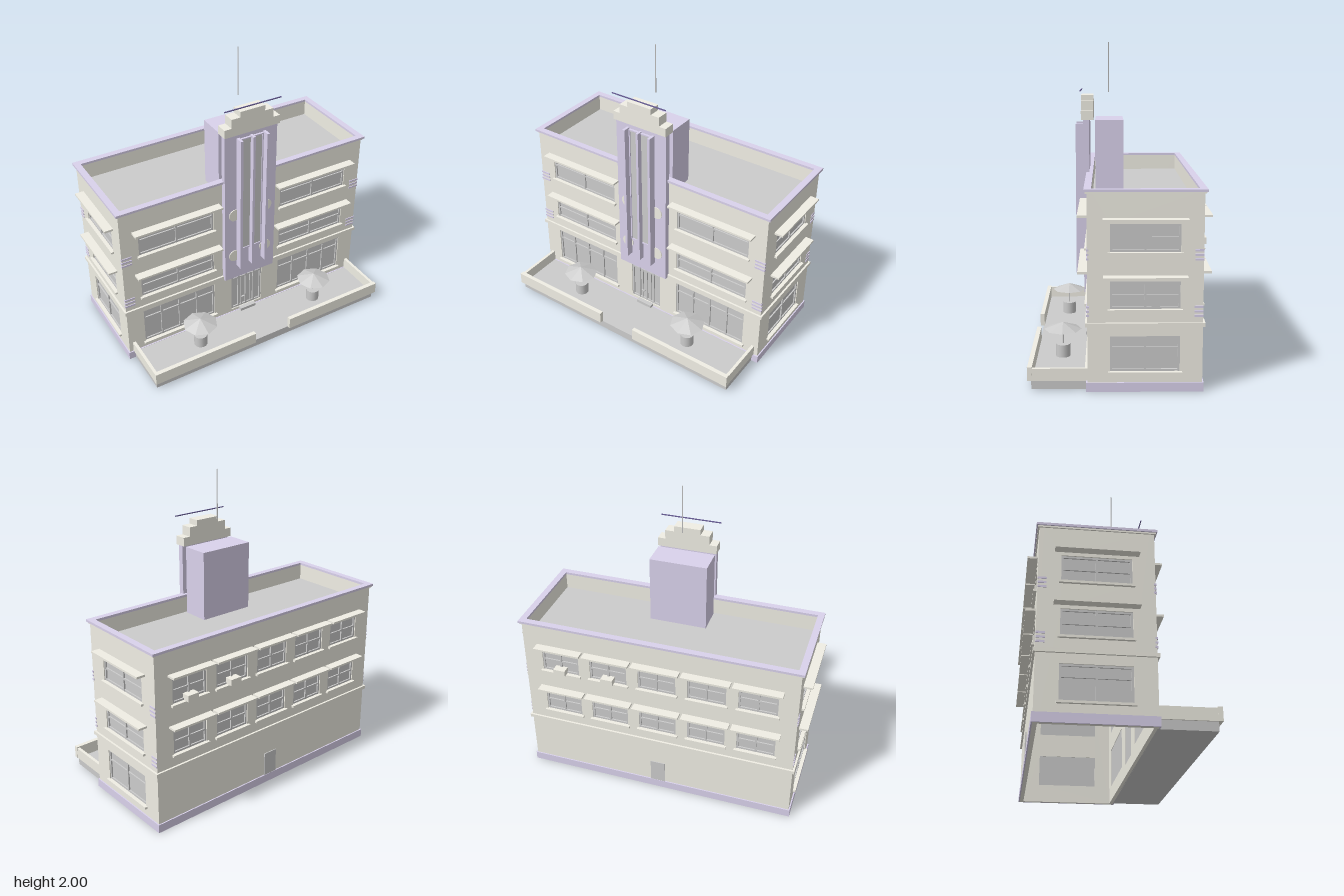
import * as THREE from 'three';

const mat = (color) => new THREE.MeshStandardMaterial({ color });
const GREY = mat(0xcccccc), CREAM = mat(0xf0eee4), LILAC = mat(0xdad2ec), VIOLET = mat(0x6a5f98);
const T = 0.025;                                   // wall thickness
const HX = 0.905, ZF = 0.185, ZB = -0.475, ZC = (ZF + ZB) / 2;

function add(parent, name, geometry, material) {
  const m = new THREE.Mesh(geometry, material);
  m.name = name;
  parent.add(m);
  return m;
}

// Box given by its min and max on each axis
function box(parent, name, material, x0, x1, y0, y1, z0, z1) {
  const m = add(parent, name, new THREE.BoxGeometry(x1 - x0, y1 - y0, z1 - z0), material);
  m.position.set((x0 + x1) / 2, (y0 + y1) / 2, (z0 + z1) / 2);
  return m;
}

function rectPath(PathClass, x0, x1, y0, y1) {
  return new PathClass([[x0, y0], [x1, y0], [x1, y1], [x0, y1]].map(([x, y]) => new THREE.Vector2(x, y)));
}

// Rectangular band running round the building
function ring(parent, name, material, y0, y1, out, inset = T) {
  const s = rectPath(THREE.Shape, -HX - out, HX + out, ZB - out, ZF + out);
  s.holes.push(rectPath(THREE.Path, -HX + inset, HX - inset, ZB + inset, ZF - inset));
  const g = new THREE.ExtrudeGeometry(s, { depth: y1 - y0, bevelEnabled: false });
  g.rotateX(Math.PI / 2).translate(0, y1, 0);
  return add(parent, name, g, material);
}

// Glazing with frame and bars; the wall surface is at local z = 0
function glazing(parent, name, o) {
  const g = new THREE.Group();
  g.name = name;
  parent.add(g);
  const { x0, x1, y0, y1, bars, transom } = o, b = 0.006, zf = -0.006, zb = -0.02;
  box(g, 'glass', GREY, x0, x1, y0, y1, -0.022, -0.016);
  for (const x of [x0 + b, x1 - b, ...bars]) box(g, 'mullion', GREY, x - b, x + b, y0, y1, zb, zf);
  for (const y of [y0 + b, y1 - b, transom]) box(g, 'rail', GREY, x0, x1, y - b, y + b, zb, zf - 0.001);
  if (o.sill) box(g, 'sill', CREAM, x0 - 0.013, x1 + 0.013, y0 - 0.014, y0, -0.01, 0.018);
  if (o.canopy) {
    const c = (x0 + x1) / 2, w = o.canopy / 2;
    box(g, 'canopy', CREAM, c - w, c + w, y1 + 0.021, y1 + 0.034, -0.01, 0.058);
  }
}

// One wall with its openings
function facade(parent, name, halfWidth, openings) {
  const g = new THREE.Group();
  g.name = name;
  parent.add(g);
  const s = rectPath(THREE.Shape, -halfWidth, halfWidth, 0, 1.165);
  for (const o of openings) s.holes.push(rectPath(THREE.Path, o.x0, o.x1, o.y0, o.y1));
  const wall = new THREE.ExtrudeGeometry(s, { depth: T, bevelEnabled: false }).translate(0, 0, -T);
  add(g, 'wall', wall, CREAM);
  for (const o of openings) glazing(g, o.name || 'window', o);
  return g;
}

const opening = (c, w, y0, y1, transom, cols, extra = {}) => ({
  x0: c - w / 2, x1: c + w / 2, y0, y1, transom,
  bars: Array.from({ length: cols - 1 }, (_, i) => c - w / 2 + (w * (i + 1)) / cols), ...extra,
});
const FLOORS = [[0.49, 0.652, 0.568], [0.82, 0.982, 0.9]];

function buildShell(root) {
  // Front
  const front = [opening(0, 0.24, 0.075, 0.385, 0.335, 1, { name: 'entrance', bars: [-0.06, 0, 0.06] })];
  for (const s of [-1, 1]) {
    front.push(opening(s * 0.52, 0.53, 0.1, 0.36, 0.29, 4, { name: 'shopWindow', sill: true }));
    FLOORS.forEach(([a, b, t], i) => front.push(
      opening(s * 0.52, 0.53, a, b, i ? 0.928 : t, 2, { sill: true, canopy: 0.61 })));
  }
  const f = facade(root, 'frontFacade', HX, front);
  f.position.z = ZF;
  for (const x of [-0.035, 0.035]) box(f, 'doorStile', GREY, x - 0.004, x + 0.004, 0.075, 0.335, -0.02, -0.008);
  box(f, 'doorHandle', GREY, -0.04, -0.015, 0.15, 0.156, -0.01, 0.002);

  // Sides
  for (const s of [-1, 1]) {
    const side = [opening(0, 0.4, 0.12, 0.33, 0.26, 2, { sill: true })];
    for (const [a, b, t] of FLOORS) side.push(opening(0, 0.4, a, b, t, 2, { sill: true, canopy: 0.48 }));
    const g = facade(root, 'sideFacade', (ZF - ZB) / 2 - T, side);
    g.position.set(s * HX, 0, ZC);
    g.rotation.y = s * Math.PI / 2;
  }

  // Back
  const back = [];
  for (let i = -2; i <= 2; i++) for (const [a, b, t] of FLOORS)
    back.push(opening(i * 0.328, 0.25, a, b, t, 2, { sill: true, canopy: 0.312 }));
  const bk = facade(root, 'backFacade', HX, back);
  bk.position.z = ZB;
  bk.rotation.y = Math.PI;
  box(bk, 'backDoor', GREY, -0.05, 0.05, 0.055, 0.215, -0.01, 0.006);
  for (const x of [-0.656, -0.328]) box(bk, 'airConditioner', CREAM, x - 0.04, x + 0.04, 0.82, 0.86, -0.02, 0.036);

  // Bands and roof
  ring(root, 'plinth', LILAC, 0, 0.055, 0.008, 0);
  ring(root, 'beltCourse', CREAM, 0.388, 0.411, 0.013, 0);
  ring(root, 'corniceBed', CREAM, 1.155, 1.166, 0.009, 0);
  ring(root, 'parapetCap', LILAC, 1.165, 1.18, 0.017);
  box(root, 'roofDeck', GREY, -HX + T, HX - T, 1.04, 1.06, ZB + T, ZF - T);

  // Speed stripes at the corners
  for (const s of [-1, 1]) for (const y of [0.451, 0.477, 0.503, 0.78, 0.806, 0.832]) {
    const x = s * 0.873;
    box(root, 'cornerStripe', LILAC, x - 0.035, x + 0.035, y - 0.006, y + 0.006, ZF - 0.01, ZF + 0.005);
    box(root, 'cornerStripe', LILAC, s * HX - 0.004, s * HX + 0.004, y - 0.006, y + 0.006, ZB, ZB + 0.05);
  }
}

function buildTower(root) {
  const g = new THREE.Group();
  g.name = 'tower';
  root.add(g);
  box(g, 'towerSlab', LILAC, -0.19, 0.19, 0.388, 1.51, 0.183, 0.22);
  box(g, 'stairWindow', GREY, -0.075, 0.075, 0.63, 1.465, 0.21, 0.228);
  for (const s of [-1, 1]) {
    box(g, 'windowFrame', LILAC, s * 0.079 - 0.004, s * 0.079 + 0.004, 0.622, 1.473, 0.21, 0.234);
    box(g, 'outerFin', LILAC, s * 0.095 - 0.009, s * 0.095 + 0.009, 0.495, 1.48, 0.21, 0.272);
    for (const y of [0.58, 0.91]) {
      const d = add(g, 'medallion', new THREE.CylinderGeometry(0.043, 0.043, 0.008, 24).rotateX(Math.PI / 2), CREAM);
      d.position.set(s * 0.118, y, 0.221);
    }
  }
  for (const y of [0.626, 1.469]) box(g, 'windowFrame', LILAC, -0.08, 0.08, y - 0.004, y + 0.004, 0.21, 0.234);
  box(g, 'centreFin', LILAC, -0.008, 0.008, 0.495, 1.48, 0.21, 0.262);

  // Stepped crown
  const half = [[0.198, 1.51], [0.198, 1.567], [0.148, 1.567], [0.148, 1.628], [0.088, 1.628], [0.088, 1.665]];
  const pts = [...half, ...half.map(([x, y]) => [-x, y]).reverse()].map(([x, y]) => new THREE.Vector2(x, y));
  const crown = new THREE.ExtrudeGeometry(new THREE.Shape(pts), { depth: 0.078, bevelEnabled: false });
  add(g, 'crown', crown.translate(0, 0, 0.157), CREAM);
  box(g, 'lightBar', VIOLET, -0.2, 0.2, 1.691, 1.697, 0.236, 0.242);

  // Rooftop block and mast
  box(g, 'rooftopBlock', LILAC, -0.19, 0.19, 1.06, 1.51, -0.035, 0.145);
  add(g, 'mast', new THREE.CylinderGeometry(0.003, 0.004, 0.32, 8), GREY).position.set(0, 1.84, 0.06);
}

function buildTerrace(root) {
  const g = new THREE.Group();
  g.name = 'terrace';
  root.add(g);
  box(g, 'terraceSlab', GREY, -0.868, 0.868, 0, 0.054, 0.18, 0.512);
  box(g, 'doorStep', GREY, -0.06, 0.06, 0.054, 0.075, 0.17, 0.215);
  for (const s of [-1, 1]) {
    const x = s * 0.508, w = s * 0.868;
    box(g, 'frontParapet', CREAM, x - 0.372, x + 0.372, 0.054, 0.136, 0.507, 0.535);
    box(g, 'sideParapet', CREAM, w - 0.01, w + 0.01, 0.054, 0.128, 0.185, 0.51);

    // Table with parasol
    const set = new THREE.Group();
    set.name = 'parasolTable';
    set.position.set(s * 0.456, 0, 0.347);
    g.add(set);
    add(set, 'table', new THREE.CylinderGeometry(0.045, 0.045, 0.08, 16), GREY).position.y = 0.094;
    add(set, 'pole', new THREE.CylinderGeometry(0.004, 0.004, 0.13, 8), GREY).position.y = 0.195;
    const shade = GREY.clone();
    shade.flatShading = true;
    shade.side = THREE.DoubleSide;
    const cone = add(set, 'parasol', new THREE.ConeGeometry(0.116, 0.044, 8), shade);
    cone.position.y = 0.25;
  }
}

export function createModel() {
  const root = new THREE.Group();
  root.name = 'building';
  buildShell(root);
  buildTower(root);
  buildTerrace(root);
  return root;
}
